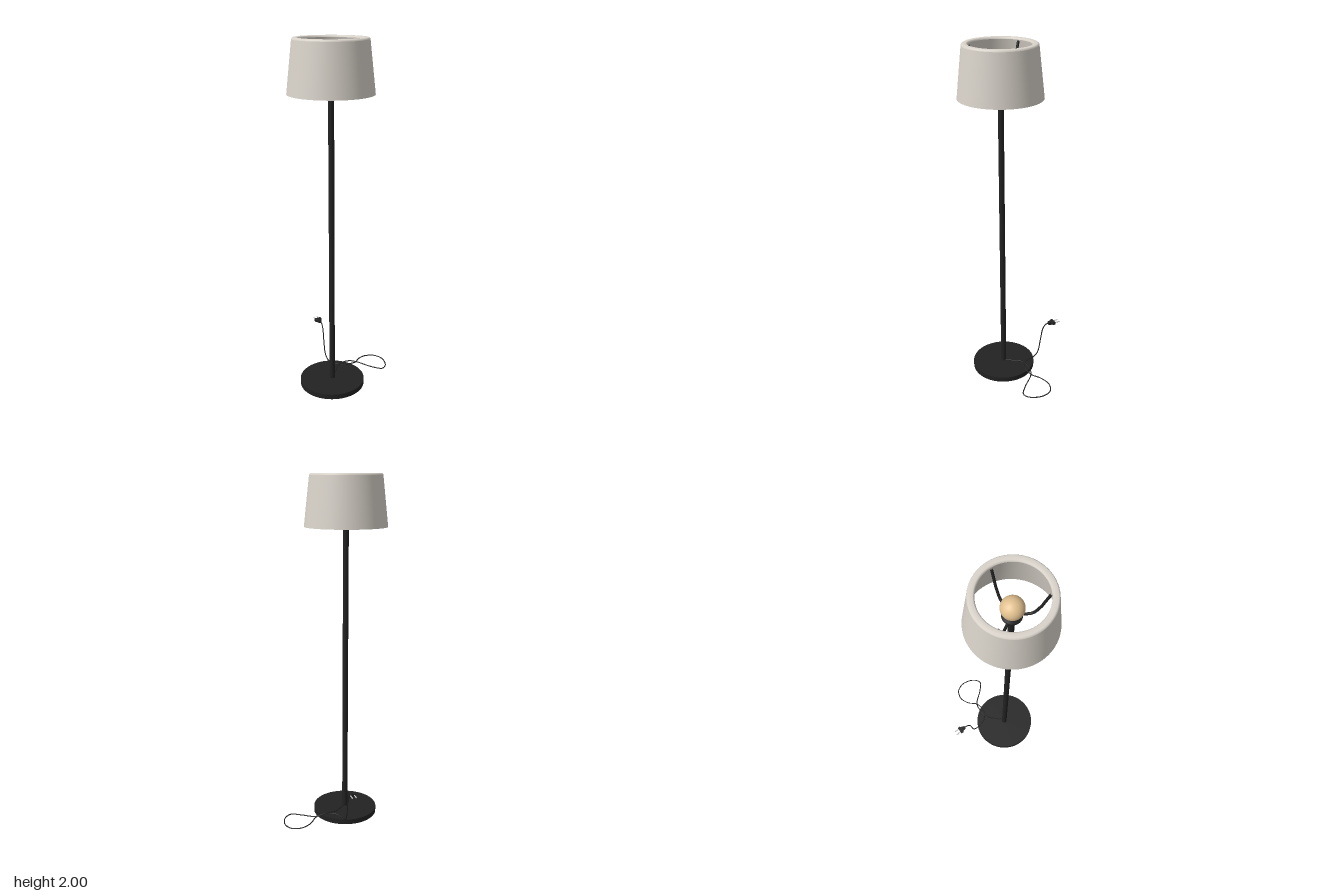
import * as THREE from 'three';

const CX = -0.085, CZ = 0.06; // lamp axis

const mat = (name, color) => {
  const m = new THREE.MeshStandardMaterial({ color });
  m.name = name;
  return m;
};
const vecs = (pts) => pts.map((p) => new THREE.Vector3(...p));

export function createModel() {
  const model = new THREE.Group();
  model.name = 'floorLamp';
  const black = mat('black', 0x222222);
  const linen = mat('linen', 0xd9d3ca);
  const bulbGlass = mat('warm bulb', 0xe2c190);
  const metal = mat('plug metal', 0xc8c8c8);

  const add = (name, geometry, material, parent) => {
    const mesh = new THREE.Mesh(geometry, material);
    mesh.name = name;
    parent.add(mesh);
    return mesh;
  };
  // Each pair of profile points becomes its own band, so corners stay crisp
  const lathe = (pts, seg) => new THREE.LatheGeometry(pts.map((p) => new THREE.Vector2(...p)), seg);
  const tube = (pts, r, seg, sides) =>
    new THREE.TubeGeometry(new THREE.CatmullRomCurve3(vecs(pts)), seg, r, sides);

  const lamp = new THREE.Group();
  lamp.name = 'lamp';
  lamp.position.set(CX, 0, CZ);
  model.add(lamp);

  // Base and pole
  add('base', new THREE.CylinderGeometry(0.188, 0.188, 0.03, 64), black, lamp).position.y = 0.015;
  add('pole', new THREE.CylinderGeometry(0.016, 0.016, 1.76, 24), black, lamp).position.y = 0.9;

  // Shade: outer wall, rounded rim, inner wall, bottom lip
  const shade = new THREE.Group();
  shade.name = 'shade';
  lamp.add(shade);
  add('shadeOuter', lathe([[0.232, 1.715], [0.201, 1.99]], 64), linen, shade);
  add('shadeRim', lathe([[0.201, 1.99], [0.199, 1.996], [0.193, 2], [0.174, 2], [0.168, 1.997], [0.166, 1.99]], 64), linen, shade);
  add('shadeInner', lathe([[0.166, 1.99], [0.227, 1.715]], 64), linen, shade);
  add('shadeLip', lathe([[0.227, 1.715], [0.232, 1.715]], 64), linen, shade);

  // Socket under the bulb
  add('socket', lathe([[0, 1.755], [0.021, 1.755], [0.024, 1.775], [0.05, 1.795], [0.05, 1.812], [0.03, 1.815], [0.028, 1.835], [0, 1.835]], 32), black, lamp);

  // Bulb with a short neck
  const bulbProfile = [[0.024, 1.815], [0.026, 1.825]];
  for (let i = 0; i <= 20; i++) {
    const a = -0.95 + (i / 20) * (Math.PI / 2 + 0.95);
    bulbProfile.push([Math.max(0, 0.058 * Math.cos(a)), 1.875 + 0.058 * Math.sin(a)]);
  }
  add('bulb', lathe(bulbProfile, 40), bulbGlass, lamp);

  // Three curved arms holding the shade
  const armPoints = [[0.03, 1.802, 0], [0.09, 1.805, 0], [0.125, 1.86, 0], [0.146, 1.925, 0], [0.165, 1.985, 0]];
  for (let i = 0; i < 3; i++) {
    const arm = add('shadeArm', tube(armPoints, 0.007, 28, 10), black, lamp);
    arm.rotation.y = (i * Math.PI * 2) / 3;
  }

  // Power cord: over the base, one loop on the floor, then up to the plug
  add('cord', tube([
    [-0.075, 0.034, 0.055], [-0.035, 0.036, 0.012], [0, 0.042, -0.024], [0.045, 0.046, -0.036],
    [0.09, 0.04, -0.038], [0.13, 0.028, -0.025], [0.2, 0.012, 0.049], [0.25, 0.006, 0.084],
    [0.29, 0.004, 0.058], [0.312, 0.004, -0.02], [0.287, 0.004, -0.077], [0.23, 0.007, -0.096],
    [0.17, 0.014, -0.073], [0.125, 0.025, -0.03], [0.065, 0.035, -0.019], [0.025, 0.035, -0.033],
    [0, 0.035, -0.055], [-0.012, 0.034, -0.085], [-0.02, 0.034, -0.12], [-0.024, 0.06, -0.15],
    [-0.025, 0.15, -0.17], [-0.024, 0.225, -0.185], [-0.023, 0.252, -0.205], [-0.023, 0.255, -0.225],
  ], 0.0032, 240, 8), black, model);

  // Plug: tapered flat body, outline drawn with +y pointing away from the cord
  const plug = new THREE.Group();
  plug.name = 'plug';
  plug.position.set(-0.023, 0.255, 0);
  model.add(plug);
  const half = [[0.006, 0.222], [0.013, 0.244], [0.019, 0.249], [0.019, 0.261]];
  const outline = [...half, ...half.map(([x, y]) => [-x, y]).reverse()];
  const bodyGeo = new THREE.ExtrudeGeometry(new THREE.Shape(outline.map((p) => new THREE.Vector2(...p))), {
    depth: 0.013, bevelEnabled: true, bevelThickness: 0.003, bevelSize: 0.002, bevelSegments: 2,
  });
  bodyGeo.translate(0, 0, -0.0065).rotateX(-Math.PI / 2);
  add('plugBody', bodyGeo, black, plug);
  for (const s of [-1, 1]) {
    const prong = add('plugProng', new THREE.CapsuleGeometry(0.0033, 0.032, 4, 12), metal, plug);
    prong.rotation.x = Math.PI / 2;
    prong.position.set(s * 0.0115, 0, -0.277);
  }
  return model;
}
